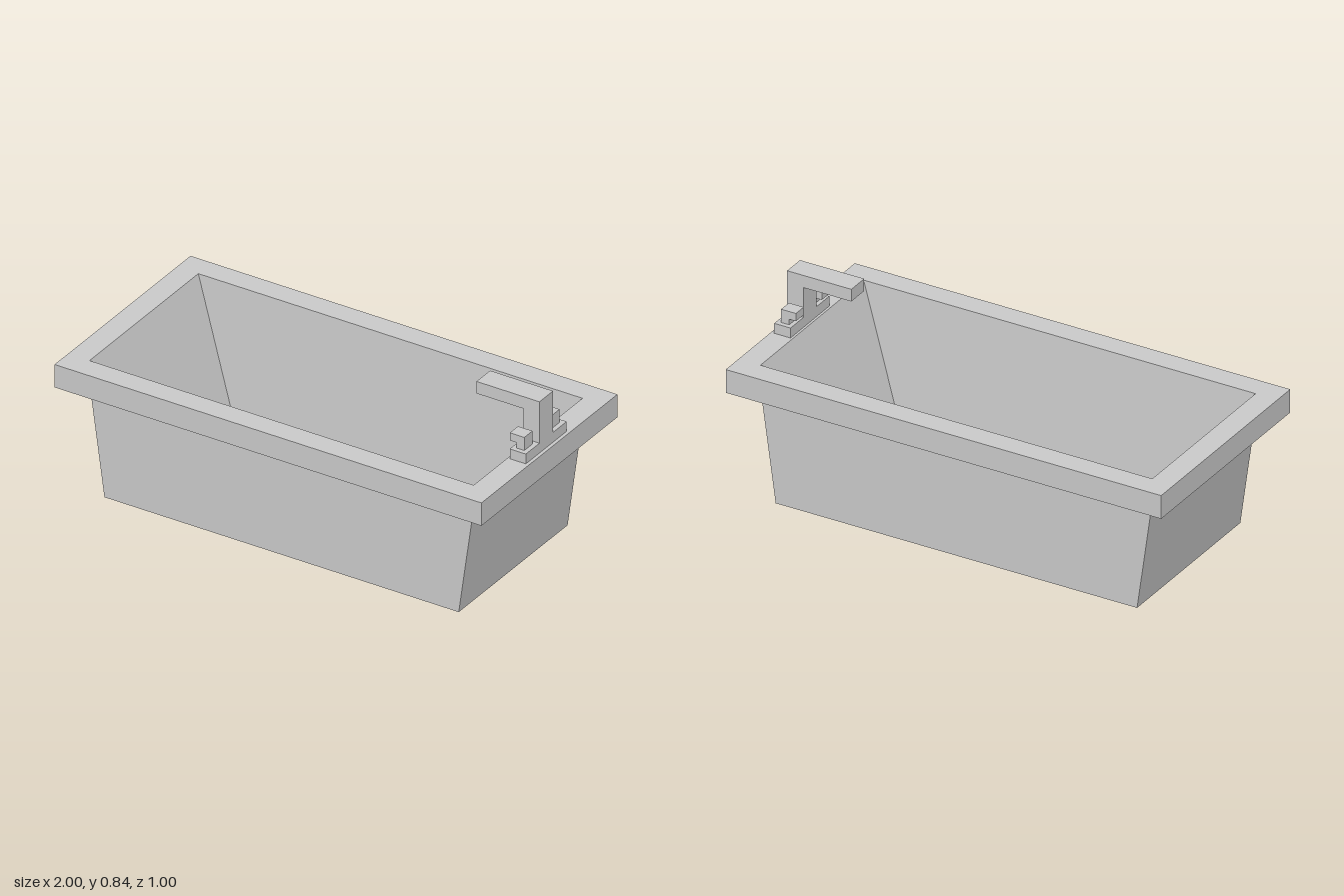
import * as THREE from 'three';

const material = new THREE.MeshStandardMaterial({ color: 0xcccccc, flatShading: true });

// Skin a series of rectangular rings [halfX, y, halfZ], capping the first and last
function loftRings(rings) {
  const corners = ([x, y, z]) => [[-x, y, z], [x, y, z], [x, y, -z], [-x, y, -z]];
  const positions = [];
  const quad = (a, b, c, d) => positions.push(...a, ...b, ...c, ...a, ...c, ...d);
  const loops = rings.map(corners);
  for (let i = 0; i < loops.length - 1; i++) {
    const low = loops[i], high = loops[i + 1];
    for (let k = 0; k < 4; k++) {
      const n = (k + 1) % 4;
      quad(low[k], low[n], high[n], high[k]);
    }
  }
  const [first, last] = [loops[0], loops[loops.length - 1]];
  quad(first[3], first[2], first[1], first[0]);
  quad(...last);
  const geometry = new THREE.BufferGeometry();
  geometry.setAttribute('position', new THREE.Float32BufferAttribute(positions, 3));
  geometry.computeVertexNormals();
  return geometry;
}

// Box given by its minimum and maximum corners
function addBox(parent, name, min, max) {
  const size = max.map((v, i) => v - min[i]);
  const mesh = new THREE.Mesh(new THREE.BoxGeometry(...size), material);
  mesh.position.set(...max.map((v, i) => (v + min[i]) / 2));
  mesh.name = name;
  parent.add(mesh);
}

export function createModel() {
  const model = new THREE.Group();
  model.name = 'bathtub';

  // Tapered shell, overhanging rim and sloped basin in one continuous skin
  const tub = new THREE.Mesh(loftRings([
    [0.83, 0, 0.4],
    [0.9, 0.5, 0.4],
    [1, 0.5, 0.5],
    [1, 0.605, 0.5],
    [0.9, 0.605, 0.4],
    [0.71, 0.02, 0.36],
  ]), material);
  tub.name = 'tub';
  model.add(tub);

  // Faucet on the left end of the rim
  const faucet = new THREE.Group();
  faucet.name = 'faucet';
  model.add(faucet);
  addBox(faucet, 'spoutPost', [0.91, 0.605, -0.05], [0.985, 0.785, 0.05]);
  addBox(faucet, 'spout', [0.69, 0.785, -0.05], [0.985, 0.84, 0.05]);

  // Base plates and L-shaped handles either side of the post
  for (const side of [-1, 1]) {
    const span = (a, b) => (side > 0 ? [a, b] : [-b, -a]);
    const [p0, p1] = span(0.05, 0.15);
    const [h0, h1] = span(0.07, 0.13);
    addBox(faucet, 'basePlate', [0.91, 0.605, p0], [0.985, 0.65, p1]);
    addBox(faucet, 'handleStem', [0.928, 0.65, h0], [0.965, 0.675, h1]);
    addBox(faucet, 'handle', [0.897, 0.675, h0], [0.965, 0.71, h1]);
  }
  return model;
}
